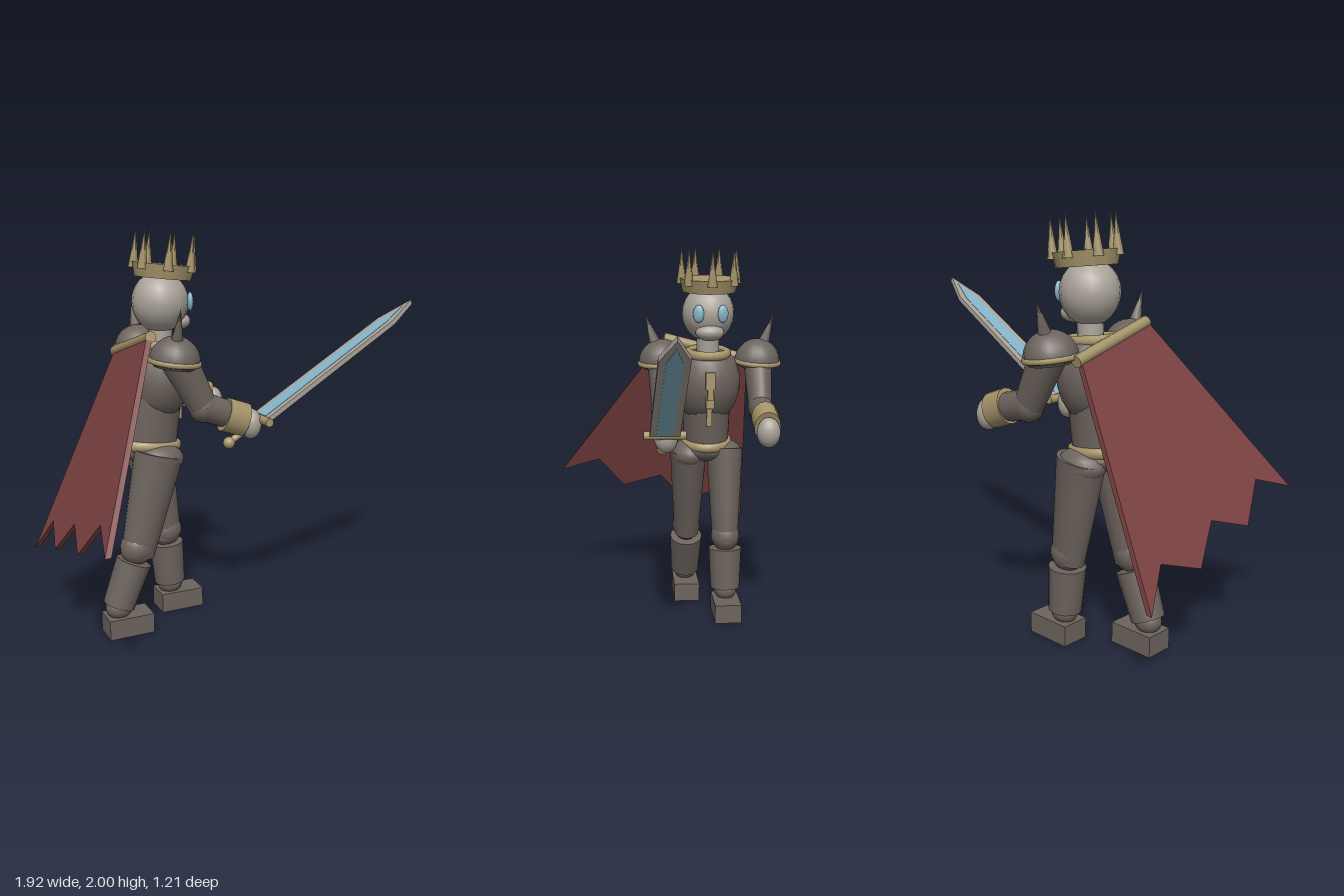
import * as THREE from 'three';

const mat = (name, color) => {
  const m = new THREE.MeshStandardMaterial({ color });
  m.name = name;
  return m;
};

export function createModel() {
  const armor = mat('dark armor', 0x6c635d);
  const gold = mat('dull gold', 0xa6956a);
  const pale = mat('pale grey', 0xaaa39a);
  const blue = mat('ice blue', 0x84b4c8);
  const red = mat('cape red', 0x7e4343);

  const root = new THREE.Group();
  const MID = -0.217; // z of the body's middle plane
  const LEAN = -0.1; // forward lean of the torso

  const add = (name, geo, material, x = 0, y = 0, z = 0, parent = root) => {
    const m = new THREE.Mesh(geo, material);
    m.name = name;
    m.position.set(x, y, z);
    parent.add(m);
    return m;
  };
  const ball = (name, material, x, y, z, rx, ry = rx, rz = rx, parent = root) => {
    const m = add(name, new THREE.SphereGeometry(1, 16, 12), material, x, y, z, parent);
    m.scale.set(rx, ry, rz);
    return m;
  };
  // Tapered cylinder from a to b, both [x, y] in the plane at z
  const limb = (name, material, a, b, z, ra, rb, flat = 1) => {
    const dir = new THREE.Vector3(b[0] - a[0], b[1] - a[1], 0);
    const m = add(name, new THREE.CylinderGeometry(rb, ra, dir.length(), 16), material,
      (a[0] + b[0]) / 2, (a[1] + b[1]) / 2, z);
    m.rotation.z = Math.atan2(dir.y, dir.x) - Math.PI / 2;
    m.scale.z = flat;
    return m;
  };
  const ring = (name, x, y, z, r, tube, sx, sz, thick = 1) => {
    const g = new THREE.TorusGeometry(r, tube, 8, 24).rotateX(Math.PI / 2).scale(sx, thick, sz);
    const m = add(name, g, gold, x, y, z);
    m.rotation.z = LEAN;
    return m;
  };

  // Torso
  const chestProfile = [[0, -0.2], [0.12, -0.19], [0.155, -0.13], [0.175, -0.06], [0.175, 0.02],
    [0.15, 0.1], [0.11, 0.14], [0, 0.16]].map(p => new THREE.Vector2(...p));
  const chest = add('chest', new THREE.LatheGeometry(chestProfile, 20), armor, -0.385, 1.3, MID);
  chest.scale.x = 0.92;
  chest.rotation.z = LEAN / 2;
  const waist = add('waist', new THREE.CylinderGeometry(0.155, 0.145, 0.25, 16), armor, -0.43, 1.06, MID);
  waist.scale.z = 0.84;
  waist.rotation.z = LEAN;
  ring('belt', -0.438, 0.945, MID, 0.15, 0.02, 1, 0.83, 1.3);
  ball('hips', armor, -0.42, 0.91, MID, 0.14, 0.07, 0.155);
  ring('collar', -0.37, 1.435, MID, 0.1, 0.025, 1.15, 1);
  limb('neck', pale, [-0.37, 1.38], [-0.36, 1.54], MID, 0.06, 0.06);

  // Chest ornament
  [[-0.22, 1.3, 0.09, 0.05], [-0.218, 1.24, 0.08, 0.03], [-0.23, 1.19, 0.07, 0.045], [-0.272, 1.11, 0.11, 0.028]]
    .forEach(([x, y, h, w]) => add('chestOrnament', new THREE.BoxGeometry(0.025, h, w), gold, x, y, MID));

  // Head
  ball('head', pale, -0.36, 1.643, MID, 0.14, 0.148, 0.138);
  ball('muzzle', pale, -0.268, 1.547, MID, 0.06, 0.044, 0.075);
  for (const s of [-1, 1]) {
    const eye = ball('eye', blue, -0.228, 1.645, MID + s * 0.063, 0.016, 0.046, 0.029);
    eye.rotation.y = -s * 0.3;
  }

  // Crown with seven spikes
  const crown = new THREE.Group();
  crown.name = 'crown';
  crown.position.set(-0.338, 1.79, MID - 0.003);
  crown.rotation.z = LEAN;
  root.add(crown);
  add('crownBand', new THREE.CylinderGeometry(0.155, 0.14, 0.068, 14), gold, 0, 0, 0, crown);
  for (let i = 0; i < 7; i++) {
    const a = (i / 7) * Math.PI * 2;
    add('crownSpike', new THREE.ConeGeometry(0.026, 0.19, 6), gold,
      Math.cos(a) * 0.147, 0.1, Math.sin(a) * 0.147, crown);
  }

  // Legs: one trailing, one leading
  const leg = (z, hip, knee, shinTop, shinEnd, foot) => {
    ball('hipJoint', armor, hip[0], hip[1] - 0.03, z, 0.128, 0.08, 0.097);
    limb('thigh', armor, hip, knee, z, 0.126, 0.086, 0.8);
    ball('knee', armor, knee[0], knee[1] + 0.04, z, 0.088, 0.088, 0.078);
    limb('greave', armor, shinTop, shinEnd, z, 0.09, 0.08);
    ball('ankle', armor, foot - 0.045, 0.14, z, 0.068, 0.06, 0.062);
    add('foot', new THREE.BoxGeometry(0.23, 0.1, 0.142), armor, foot, 0.05, z);
  };
  leg(-0.12, [-0.42, 0.91], [-0.545, 0.4], [-0.565, 0.37], [-0.65, 0.15], -0.605);
  leg(-0.315, [-0.405, 0.91], [-0.322, 0.4], [-0.318, 0.37], [-0.302, 0.15], -0.255);

  // Arms and shoulder guards
  const arm = (s, z, dx, dy) => {
    limb('upperArm', armor, [-0.37, 1.4], [-0.245, 1.16], z, 0.09, 0.072, 0.85);
    ball('elbow', armor, -0.24, 1.155, z, 0.076, 0.076, 0.066);
    limb('forearm', armor, [-0.25, 1.16], [-0.07 + dx, 1.09 + dy], z, 0.072, 0.066, 0.9);
    limb('cuff', gold, [-0.13 + dx, 1.108 + dy], [-0.022 + dx, 1.07 + dy], z, 0.084, 0.084, 0.8);
    ball('hand', pale, 0.012 + dx, 1.048 + dy, z, 0.055, 0.076, 0.06);
    const guard = new THREE.Group();
    guard.name = 'shoulderGuard';
    guard.position.set(-0.385, 1.385, z);
    guard.rotation.set(s * 0.06, 0, LEAN);
    root.add(guard);
    add('shoulderDome', new THREE.SphereGeometry(0.122, 16, 8, 0, Math.PI * 2, 0, Math.PI / 2), armor, 0, 0, 0, guard);
    add('shoulderBase', new THREE.CylinderGeometry(0.12, 0.1, 0.03, 16), armor, 0, -0.012, 0, guard);
    add('shoulderRim', new THREE.TorusGeometry(0.116, 0.014, 8, 24).rotateX(Math.PI / 2), gold, 0, 0, 0, guard);
    const spike = add('shoulderSpike', new THREE.ConeGeometry(0.038, 0.2, 8), armor, -0.003, 1.545, z + s * 0.055);
    spike.position.x = -0.385;
    spike.rotation.x = s * 0.33;
  };
  arm(1, 0.027, 0, 0);
  arm(-1, -0.483, 0.02, 0.025);

  // Sword: local x runs along the blade, z across it
  const sword = new THREE.Group();
  sword.name = 'sword';
  sword.position.set(0.06, 1.07, 0.037);
  sword.rotation.z = 0.548;
  root.add(sword);
  const plate = (points, depth) => new THREE.ExtrudeGeometry(
    new THREE.Shape(points.map(p => new THREE.Vector2(...p))), { depth, bevelEnabled: false })
    .translate(0, 0, -depth / 2).rotateX(-Math.PI / 2);
  add('blade', plate([[0, -0.075], [0.86, -0.067], [1.04, 0], [0.86, 0.067], [0, 0.075]], 0.024), pale, 0, 0, 0, sword);
  add('bladeInlay', plate([[0.02, -0.042], [0.84, -0.036], [0.98, 0], [0.84, 0.036], [0.02, 0.042]], 0.028), blue, 0, 0, 0, sword);
  add('crossguard', new THREE.CylinderGeometry(0.022, 0.022, 0.21, 10).rotateX(Math.PI / 2), gold, 0, 0, 0, sword);
  add('grip', new THREE.CylinderGeometry(0.018, 0.018, 0.2, 10).rotateZ(Math.PI / 2), gold, -0.1, 0, 0, sword);
  ball('pommel', gold, -0.2, 0, 0, 0.03, 0.03, 0.03, sword);

  // Cape: ragged outline in [z, y], laid on a slanted plane
  const outline = [[0, 1.51], [-0.445, 1.385], [-0.487, 0.387], [-0.354, 0.56], [-0.138, 0.49],
    [0.01, 0.656], [0.228, 0.588], [0.375, 0.763], [0.593, 0.693]];
  const cape = new THREE.ExtrudeGeometry(
    new THREE.Shape(outline.map(([z, y]) => new THREE.Vector2(-z, y))), { depth: 0.028, bevelEnabled: false });
  cape.applyMatrix4(new THREE.Matrix4().set(
    0.0885, 0.4477, 1, -1.186,
    0, 1, 0, 0,
    -1, 0, 0, 0,
    0, 0, 0, 1));
  cape.computeVertexNormals();
  add('cape', cape, red);
  const from = new THREE.Vector3(-0.495, 1.505, 0.01), to = new THREE.Vector3(-0.515, 1.38, -0.465);
  const rod = add('capeRod', new THREE.CylinderGeometry(0.028, 0.028, from.distanceTo(to), 10), gold);
  rod.position.lerpVectors(from, to, 0.5);
  rod.quaternion.setFromUnitVectors(new THREE.Vector3(0, 1, 0), to.clone().sub(from).normalize());

  return root;
}
